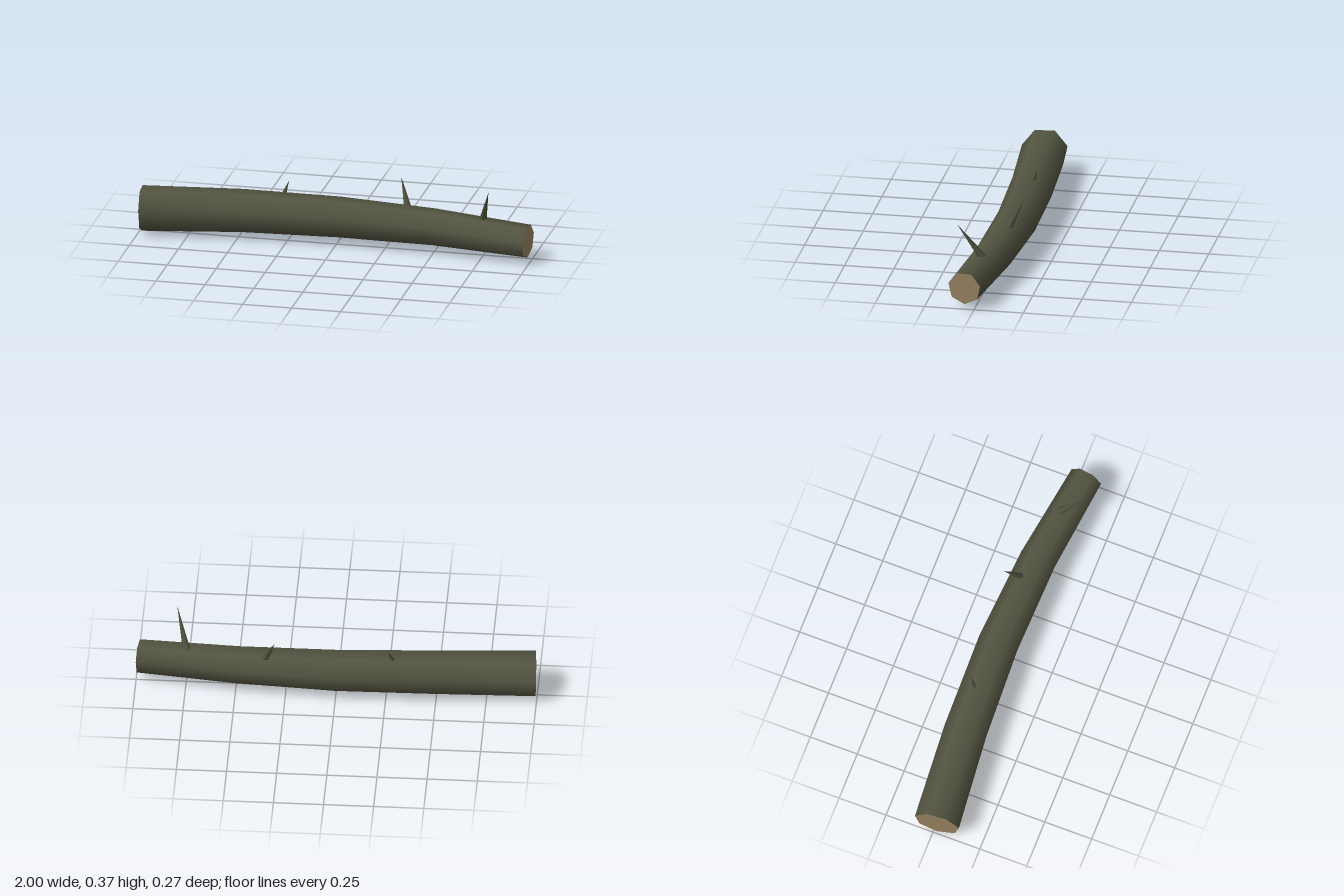
import * as THREE from 'three';

const SIDES = 7;
const bark = new THREE.MeshStandardMaterial({ name: 'bark', color: 0x545442 });
const cutWood = new THREE.MeshStandardMaterial({ name: 'cut wood', color: 0x9a8362 });

// Bent centre line with a tapering radius: x, y, z, radius
const SPINE = [
  [-0.991, 0.119, 0.018, 0.117],
  [-0.49, 0.131, -0.022, 0.111],
  [0, 0.13, -0.037, 0.105],
  [0.49, 0.124, -0.013, 0.095],
  [0.989, 0.109, 0.051, 0.085],
];

// Seven-sided ring at each spine point, square to the spine, one corner down
function makeRings() {
  const centres = SPINE.map(([x, y, z]) => new THREE.Vector3(x, y, z));
  return centres.map((c, i) => {
    const t = centres[Math.min(i + 1, centres.length - 1)].clone()
      .sub(centres[Math.max(i - 1, 0)]).normalize();
    const up = new THREE.Vector3(0, 1, 0).addScaledVector(t, -t.y).normalize();
    const side = new THREE.Vector3().crossVectors(t, up);
    return Array.from({ length: SIDES }, (_, k) => {
      const a = -Math.PI / 2 + (k * 2 * Math.PI) / SIDES;
      return c.clone()
        .addScaledVector(side, Math.cos(a) * SPINE[i][3])
        .addScaledVector(up, Math.sin(a) * SPINE[i][3]);
    });
  });
}

function makeMesh(name, points, index, material) {
  const geometry = new THREE.BufferGeometry().setFromPoints(points);
  geometry.setIndex(index);
  geometry.computeVertexNormals();
  const mesh = new THREE.Mesh(geometry, material);
  mesh.name = name;
  return mesh;
}

// Smooth bark skin between the rings
function makeTrunk(rings) {
  const index = [];
  for (let i = 0; i < rings.length - 1; i++) {
    for (let k = 0; k < SIDES; k++) {
      const p = i * SIDES + k;
      const q = i * SIDES + ((k + 1) % SIDES);
      index.push(p, p + SIDES, q, q, p + SIDES, q + SIDES);
    }
  }
  return makeMesh('trunk', rings.flat(), index, bark);
}

// Flat sawn end
function makeCutEnd(name, ring, facesLeft) {
  const index = [];
  for (let k = 1; k < SIDES - 1; k++) {
    index.push(...(facesLeft ? [0, k + 1, k] : [0, k, k + 1]));
  }
  return makeMesh(name, ring, index, cutWood);
}

// Pointed broken twig from base to tip
function makeTwig(name, base, tip, radius) {
  const from = new THREE.Vector3(...base);
  const dir = new THREE.Vector3(...tip).sub(from);
  const geometry = new THREE.ConeGeometry(radius, dir.length(), 5);
  geometry.translate(0, dir.length() / 2, 0);
  const mesh = new THREE.Mesh(geometry, bark);
  mesh.name = name;
  mesh.position.copy(from);
  mesh.quaternion.setFromUnitVectors(new THREE.Vector3(0, 1, 0), dir.normalize());
  return mesh;
}

export function createModel() {
  const log = new THREE.Group();
  log.name = 'log';
  const rings = makeRings();
  log.add(
    makeTrunk(rings),
    makeCutEnd('thinCutEnd', rings[rings.length - 1], true),
    makeCutEnd('thickCutEnd', rings[0], false),
    makeTwig('longTwig', [0.745, 0.175, -0.005], [0.803, 0.375, 0.122], 0.022),
    makeTwig('middleTwig', [0.355, 0.195, -0.05], [0.302, 0.34, -0.123], 0.021),
    makeTwig('shortTwig', [-0.288, 0.205, -0.053], [-0.261, 0.288, -0.082], 0.017),
  );
  return log;
}
